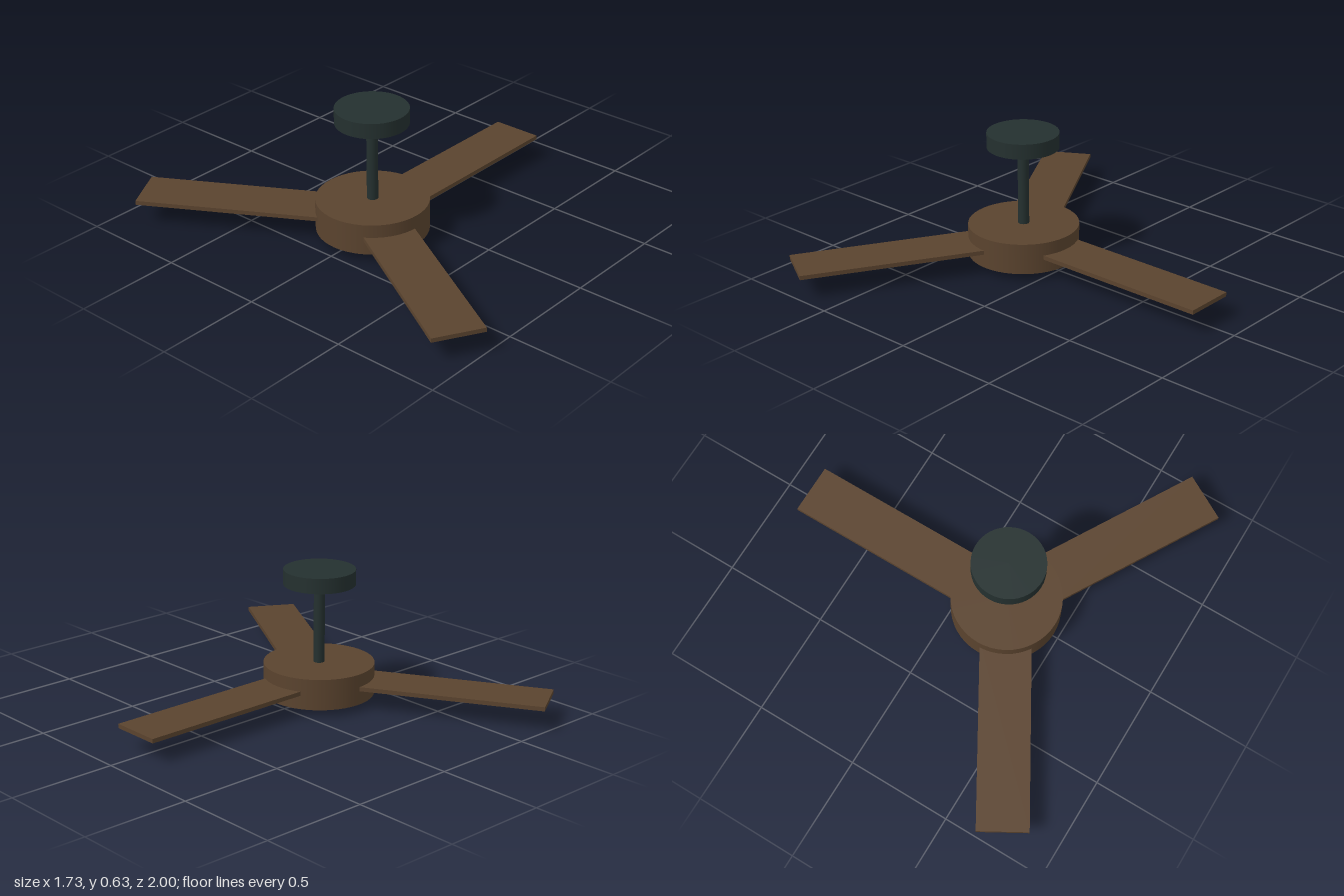
import * as THREE from 'three';

const wood = new THREE.MeshStandardMaterial({ name: 'dark wood', color: 0x5a432e });
const metal = new THREE.MeshStandardMaterial({ name: 'dark metal', color: 0x24302f });
const glass = new THREE.MeshStandardMaterial({ name: 'cream glass', color: 0xd9d0c0 });

// Upright cylinder spanning two heights
function disc(name, radius, bottom, top, material, sides = 48) {
  const mesh = new THREE.Mesh(new THREE.CylinderGeometry(radius, radius, top - bottom, sides), material);
  mesh.name = name;
  mesh.position.y = (bottom + top) / 2;
  return mesh;
}

export function createModel() {
  const fan = new THREE.Group();
  fan.name = 'ceilingFan';

  // Ceiling mount, rod, motor and lamp share one axis
  fan.add(
    disc('ceilingMount', 0.168, 0.56, 0.632, metal),
    disc('downRod', 0.026, 0.17, 0.57, metal, 24),
    disc('motorHousing', 0.26, 0.035, 0.182, wood),
    disc('lamp', 0.15, 0, 0.04, glass)
  );

  // Three flat blades, rooted inside the housing
  const inner = 0.2, outer = 1.083;
  const bladeGeometry = new THREE.BoxGeometry(outer - inner, 0.02, 0.24);
  bladeGeometry.translate((inner + outer) / 2, 0.11, 0);
  for (let i = 0; i < 3; i++) {
    const blade = new THREE.Mesh(bladeGeometry, wood);
    blade.name = `blade${i + 1}`;
    blade.rotation.y = (i * Math.PI * 2) / 3;
    fan.add(blade);
  }

  // The axis sits off centre so the blade span is centred
  fan.position.x = -0.218;
  const model = new THREE.Group();
  model.name = 'model';
  model.add(fan);
  return model;
}
